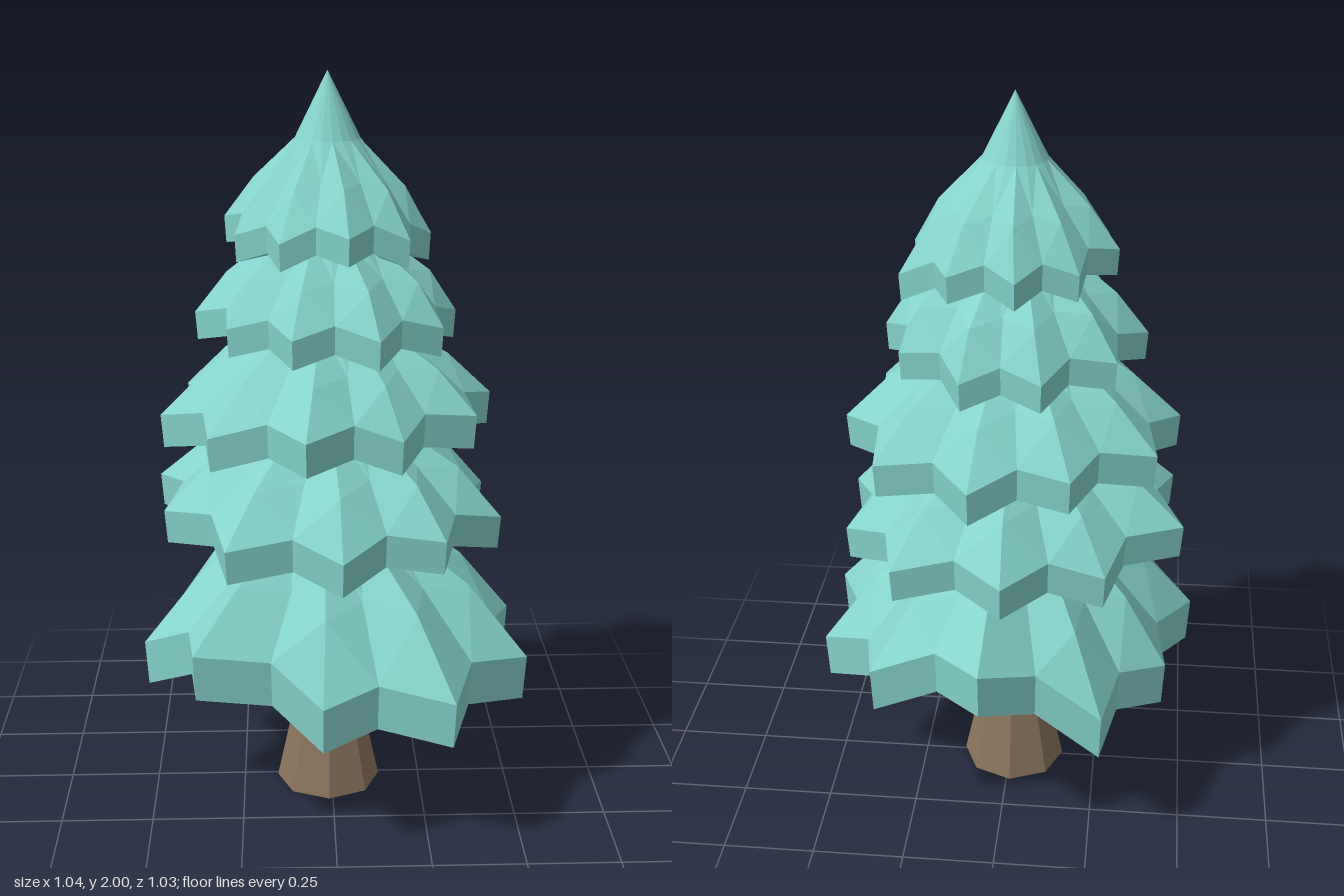
import * as THREE from 'three';

const foliage = new THREE.MeshStandardMaterial({ color: 0x86d3cc });
foliage.name = 'teal needles';
foliage.flatShading = true;
const bark = new THREE.MeshStandardMaterial({ color: 0x8a745c, side: THREE.DoubleSide });
bark.name = 'brown bark';
bark.flatShading = true;

const TIPS = 10;
const SIDES = TIPS * 2;

// A star-shaped skirt of branches. Tips are evenly spaced clockwise from the back,
// turned by phase degrees; lifts raises single tips; roof lists [radius, y] rings.
function makeTier({ name, y, rim, hollow, bulge, phase, radii, lifts, roof }) {
  const angle = (i) => THREE.MathUtils.degToRad(phase + i * 360 / SIDES);
  const point = (i, r, h) => [Math.sin(angle(i)) * r, h, -Math.cos(angle(i)) * r];
  const ring = (radius, height) =>
    Array.from({ length: SIDES }, (_, i) => point(i, radius(i), height(i)));

  // Odd corners are valleys between two tips, pulled inward
  const between = (i, value) => (value(Math.floor(i / 2)) + value(Math.ceil(i / 2) % TIPS)) / 2;
  const outline = (i) => between(i, (t) => radii[t]) * (i % 2 ? 0.83 : 1);
  const edge = (i) => y + between(i, (t) => lifts[t] ?? 0) + (i % 2 ? 0.03 : 0);
  const [topRadius, topY] = roof[0];

  // Cross-sections: hollow pleated underside, rim bottom, rim top, bulging ridges, roof
  const rings = [
    ring(() => 0, () => y + hollow),
    ring((i) => outline(i) / 2, (i) => (edge(i) + y + hollow) / 2 + (i % 2 ? 0.03 : -0.01)),
    ring((i) => outline(i) * 0.985, edge),
    ring(outline, (i) => edge(i) + rim),
    ring((i) => (outline(i) + topRadius) / 2 + (i % 2 ? 0 : bulge), (i) => (edge(i) + rim + topY) / 2),
    ...roof.map(([r, h]) => ring(() => r, () => h).map(([px, py, pz]) => [px - 0.01, py, pz + 0.01])),
  ];
  const index = [];
  for (let k = 0; k < rings.length - 1; k++) {
    for (let i = 0; i < SIDES; i++) {
      const a = k * SIDES + i;
      const b = k * SIDES + (i + 1) % SIDES;
      // Split each panel along the line that keeps the ridges sharp
      if (i % 2) index.push(b, a, b + SIDES, a, a + SIDES, b + SIDES);
      else index.push(b, a, a + SIDES, b, a + SIDES, b + SIDES);
    }
  }
  const indexed = new THREE.BufferGeometry();
  indexed.setAttribute('position', new THREE.Float32BufferAttribute(rings.flat(2), 3));
  indexed.setIndex(index);
  const geometry = indexed.toNonIndexed();
  geometry.computeVertexNormals();
  const mesh = new THREE.Mesh(geometry, foliage);
  mesh.name = name;
  return mesh;
}

export function createModel() {
  const tree = new THREE.Group();
  tree.name = 'pineTree';

  // Eight-sided trunk flaring at the foot, open below
  const profile = [[0.145, 0], [0.085, 0.28], [0.08, 0.55]];
  const trunk = new THREE.Mesh(
    new THREE.LatheGeometry(profile.map(([r, h]) => new THREE.Vector2(r, h)), 8), bark);
  trunk.name = 'trunk';
  trunk.position.set(-0.01, 0, 0.01);
  tree.add(trunk);

  // Branch tiers from the ground up
  tree.add(makeTier({
    name: 'lowestBranches', y: 0.335, rim: 0.125, hollow: 0.17, bulge: 0.04, phase: 4,
    radii: [0.52, 0.525, 0.53, 0.565, 0.575, 0.51, 0.57, 0.53, 0.48, 0.53],
    lifts: { 0: 0.16, 1: 0.08, 6: 0.12, 7: 0.02 }, roof: [[0.15, 0.83]],
  }));
  tree.add(makeTier({
    name: 'lowBranches', y: 0.745, rim: 0.09, hollow: 0.06, bulge: 0.04, phase: -2,
    radii: [0.47, 0.49, 0.46, 0.47, 0.46, 0.46, 0.5, 0.475, 0.495, 0.45],
    lifts: { 0: 0.02, 1: 0.02, 4: 0.02, 6: 0.02, 7: 0.04, 8: 0.04 }, roof: [[0.15, 1.1]],
  }));
  tree.add(makeTier({
    name: 'middleBranches', y: 1.03, rim: 0.09, hollow: 0.06, bulge: 0.03, phase: 10,
    radii: [0.415, 0.45, 0.44, 0.42, 0.39, 0.43, 0.446, 0.46, 0.45, 0.42],
    lifts: { 0: -0.03, 1: -0.01, 2: 0.01, 3: 0.02, 5: 0.02, 7: -0.01 }, roof: [[0.14, 1.36]],
  }));
  tree.add(makeTier({
    name: 'highBranches', y: 1.3, rim: 0.075, hollow: 0.06, bulge: 0.03, phase: 18,
    radii: [0.325, 0.33, 0.33, 0.345, 0.36, 0.345, 0.335, 0.36, 0.355, 0.34],
    lifts: { 0: -0.03, 9: -0.02 }, roof: [[0.13, 1.59]],
  }));
  tree.add(makeTier({
    name: 'crown', y: 1.53, rim: 0.07, hollow: 0.05, bulge: 0.02, phase: -7,
    radii: [0.28, 0.28, 0.3, 0.26, 0.28, 0.29, 0.28, 0.275, 0.285, 0.275],
    lifts: { 2: -0.04, 3: -0.01, 5: 0.02, 8: 0.02 }, roof: [[0.085, 1.83], [0, 2]],
  }));
  return tree;
}
